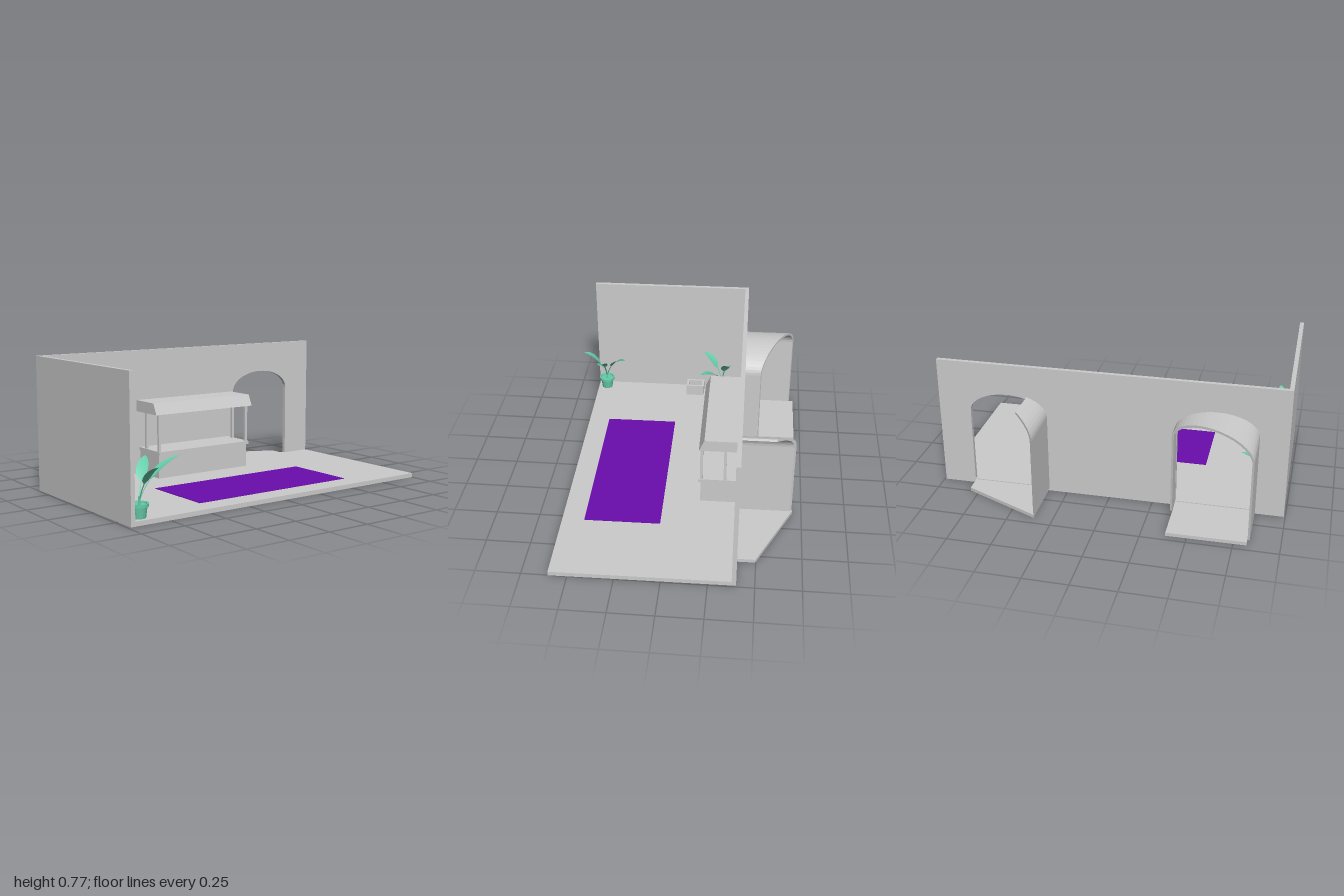
import * as THREE from 'three';

const grey = new THREE.MeshStandardMaterial({ color: 0xcccccc });
const greySheet = new THREE.MeshStandardMaterial({ color: 0xcccccc, side: THREE.DoubleSide });
const purple = new THREE.MeshStandardMaterial({ color: 0x6a0dad });
const green = new THREE.MeshStandardMaterial({ color: 0x66cdaa, side: THREE.DoubleSide });

function add(parent, name, geometry, material = grey) {
  const mesh = new THREE.Mesh(geometry, material);
  mesh.name = name;
  parent.add(mesh);
  return mesh;
}

// Box given by its limits on each axis
function block(parent, name, [x0, x1], [y0, y1], [z0, z1], material) {
  const mesh = add(parent, name, new THREE.BoxGeometry(x1 - x0, y1 - y0, z1 - z0), material);
  mesh.position.set((x0 + x1) / 2, (y0 + y1) / 2, (z0 + z1) / 2);
  return mesh;
}

// Arch outline in (z, y), from the foot at z1 over the crown to the foot at z0
function archPoints(z0, z1, foot, spring, top) {
  const pts = [new THREE.Vector2(z1, foot)];
  for (let i = 0; i <= 24; i++) {
    const a = (i / 24) * Math.PI;
    pts.push(new THREE.Vector2(
      (z0 + z1) / 2 + Math.cos(a) * (z1 - z0) / 2, spring + Math.sin(a) * (top - spring)));
  }
  pts.push(new THREE.Vector2(z0, foot));
  return pts;
}

// Extrudes a (z, y) outline from x = start towards -x
function extrudeOut(shape, depth, start) {
  const g = new THREE.ExtrudeGeometry(shape, { depth, bevelEnabled: false });
  return g.rotateY(-Math.PI / 2).translate(start, 0, 0);
}

// Cuts the far end of an extrusion along a slanted line in plan
function slantEnd(g, start, endAt) {
  const p = g.attributes.position;
  for (let i = 0; i < p.count; i++) {
    if (p.getX(i) < start - 1e-4) p.setX(i, endAt(p.getZ(i)));
  }
  g.computeVertexNormals();
  return g;
}

// Leaf: thin stalk widening to a pointed, slightly folded blade
function leafGeometry(dx, tipY, dz) {
  const curve = new THREE.QuadraticBezierCurve3(
    new THREE.Vector3(0, 0.08, 0),
    new THREE.Vector3(dx * 0.28, tipY * 0.85, dz * 0.28),
    new THREE.Vector3(dx, tipY, dz));
  const side = new THREE.Vector3(-dz, 0, dx).normalize();
  const n = 14, pos = [], idx = [];
  for (let i = 0; i <= n; i++) {
    const t = i / n, c = curve.getPoint(t);
    const s = Math.max(0, (t - 0.3) / 0.7);
    const w = t < 0.36 ? 0.004 : 0.004 * (1 - s) + 0.028 * Math.pow(Math.sin(Math.PI * Math.pow(s, 0.85)), 0.75);
    for (const k of [-1, 0, 1]) {
      pos.push(c.x + side.x * w * k, c.y + Math.abs(k) * w * 0.25, c.z + side.z * w * k);
    }
    if (i < n) {
      const b = i * 3;
      for (const j of [b, b + 1]) idx.push(j, j + 1, j + 3, j + 1, j + 4, j + 3);
    }
  }
  const g = new THREE.BufferGeometry();
  g.setAttribute('position', new THREE.Float32BufferAttribute(pos, 3));
  g.setIndex(idx);
  g.computeVertexNormals();
  return g;
}

function pottedPlant(name, x, z, leaves) {
  const plant = new THREE.Group();
  plant.name = name;
  plant.position.set(x, 0.025, z);
  const profile = [[0, 0], [0.034, 0], [0.042, 0.06], [0.05, 0.06], [0.05, 0.076], [0.042, 0.076], [0.04, 0.066], [0, 0.066]]
    .map(([r, y]) => new THREE.Vector2(r, y));
  const pot = new THREE.LatheGeometry(profile, 20).toNonIndexed();
  pot.computeVertexNormals();
  add(plant, 'pot', pot, green);
  add(plant, 'stem', new THREE.CylinderGeometry(0.005, 0.007, 0.05, 8).translate(0, 0.085, 0), green);
  leaves.forEach(([dx, y, dz]) => add(plant, 'leaf', leafGeometry(dx, y, dz), green));
  return plant;
}

export function createModel() {
  const model = new THREE.Group();
  model.name = 'courtyardRoom';
  model.rotation.y = 0.0107;

  // Floor, rug and plain front wall
  block(model, 'floor', [-0.391, 0.613], [0, 0.025], [-0.995, 0.988]);
  block(model, 'rug', [0.053, 0.486], [0.02, 0.028], [-0.55, 0.49], purple);
  block(model, 'frontWall', [-0.391, 0.613], [0.002, 0.77], [0.964, 0.988]);

  // Side wall with two arched doorways
  const wall = new THREE.Shape([[-0.994, 0.002], [0.987, 0.002], [0.987, 0.77], [-0.994, 0.77]]
    .map(([z, y]) => new THREE.Vector2(z, y)));
  for (const [z0, z1] of [[-0.81, -0.373], [0.378, 0.815]]) {
    wall.holes.push(new THREE.Path(archPoints(z0, z1, 0.02, 0.47, 0.59)));
  }
  add(model, 'archedWall', extrudeOut(wall, 0.024, -0.367));

  // Vaulted passage at the front doorway, cut off at a slant
  const front = new THREE.Group();
  front.name = 'frontPassage';
  model.add(front);
  block(front, 'passageFloor', [-0.716, -0.385], [0, 0.02], [0.378, 0.815]);
  const vault = new THREE.Shape([
    ...archPoints(0.364, 0.828, 0.018, 0.48, 0.605),
    ...archPoints(0.376, 0.816, 0.018, 0.475, 0.592).reverse()]);
  add(front, 'vault', slantEnd(extrudeOut(vault, 0.3, -0.389), -0.389,
    z => THREE.MathUtils.mapLinear(z, 0.364, 0.828, -0.485, -0.693)));

  // Broken passage at the back doorway: slanted floor, one wall and a strip of vault
  const back = new THREE.Group();
  back.name = 'backPassage';
  model.add(back);
  const slab = new THREE.Shape([[-0.806, 0], [-0.366, 0], [-0.366, 0.02], [-0.806, 0.02]]
    .map(([z, y]) => new THREE.Vector2(z, y)));
  add(back, 'passageFloor', slantEnd(extrudeOut(slab, 0.1, -0.389), -0.389,
    z => THREE.MathUtils.mapLinear(z, -0.806, -0.366, -0.49, -0.695)));
  const outer = archPoints(-0.822, -0.36, 0.018, 0.475, 0.605).slice(0, 10);
  const inner = archPoints(-0.81, -0.372, 0.018, 0.47, 0.592).slice(0, 10);
  const strip = new THREE.Shape([...outer, ...inner.reverse()]);
  add(back, 'wallAndVaultStrip', slantEnd(extrudeOut(strip, 0.3, -0.389), -0.389,
    z => THREE.MathUtils.mapLinear(z, -0.44, -0.36, -0.615, -0.69)));

  // Serving counter with posts and an awning
  const stall = new THREE.Group();
  stall.name = 'counterStall';
  model.add(stall);
  block(stall, 'counterBase', [-0.368, -0.16], [0.01, 0.166], [-0.32, 0.328]);
  block(stall, 'counterTop', [-0.368, -0.145], [0.166, 0.185], [-0.328, 0.334]);
  for (const z of [-0.318, 0.322]) {
    for (const x of [-0.3, -0.165]) {
      block(stall, 'post', [x - 0.008, x + 0.008], [0.18, 0.42], [z - 0.008, z + 0.008]);
    }
  }
  const awning = new THREE.Shape([[-0.37, 0.405], [-0.15, 0.405], [-0.18, 0.472], [-0.37, 0.472]]
    .map(([x, y]) => new THREE.Vector2(x, y)));
  add(stall, 'awning', new THREE.ExtrudeGeometry(awning, { depth: 0.705, bevelEnabled: false }).translate(0, 0, -0.355));

  // Small open square bin by the front wall
  const bin = new THREE.Shape([[-0.058, -0.044], [0.058, -0.044], [0.058, 0.044], [-0.058, 0.044]]
    .map(([x, z]) => new THREE.Vector2(x, z)));
  bin.holes.push(new THREE.Path([[-0.044, -0.03], [-0.044, 0.03], [0.044, 0.03], [0.044, -0.03]]
    .map(([x, z]) => new THREE.Vector2(x, z))));
  const binGroup = new THREE.Group();
  binGroup.name = 'bin';
  binGroup.position.set(-0.055, 0.025, 0.88);
  model.add(binGroup);
  add(binGroup, 'binSides', new THREE.ExtrudeGeometry(bin, { depth: 0.07, bevelEnabled: false }).rotateX(-Math.PI / 2), greySheet);
  add(binGroup, 'binBottom', new THREE.BoxGeometry(0.1, 0.01, 0.07).translate(0, 0.006, 0));

  // Potted plants
  model.add(pottedPlant('leftPlant', 0.556, 0.906,
    [[0.145, 0.275, -0.03], [0.015, 0.295, -0.24], [-0.145, 0.28, -0.13]]));
  model.add(pottedPlant('rightPlant', -0.235, 0.894,
    [[0.13, 0.275, 0.06], [0.14, 0.225, -0.17], [-0.05, 0.295, -0.17]]));
  return model;
}
